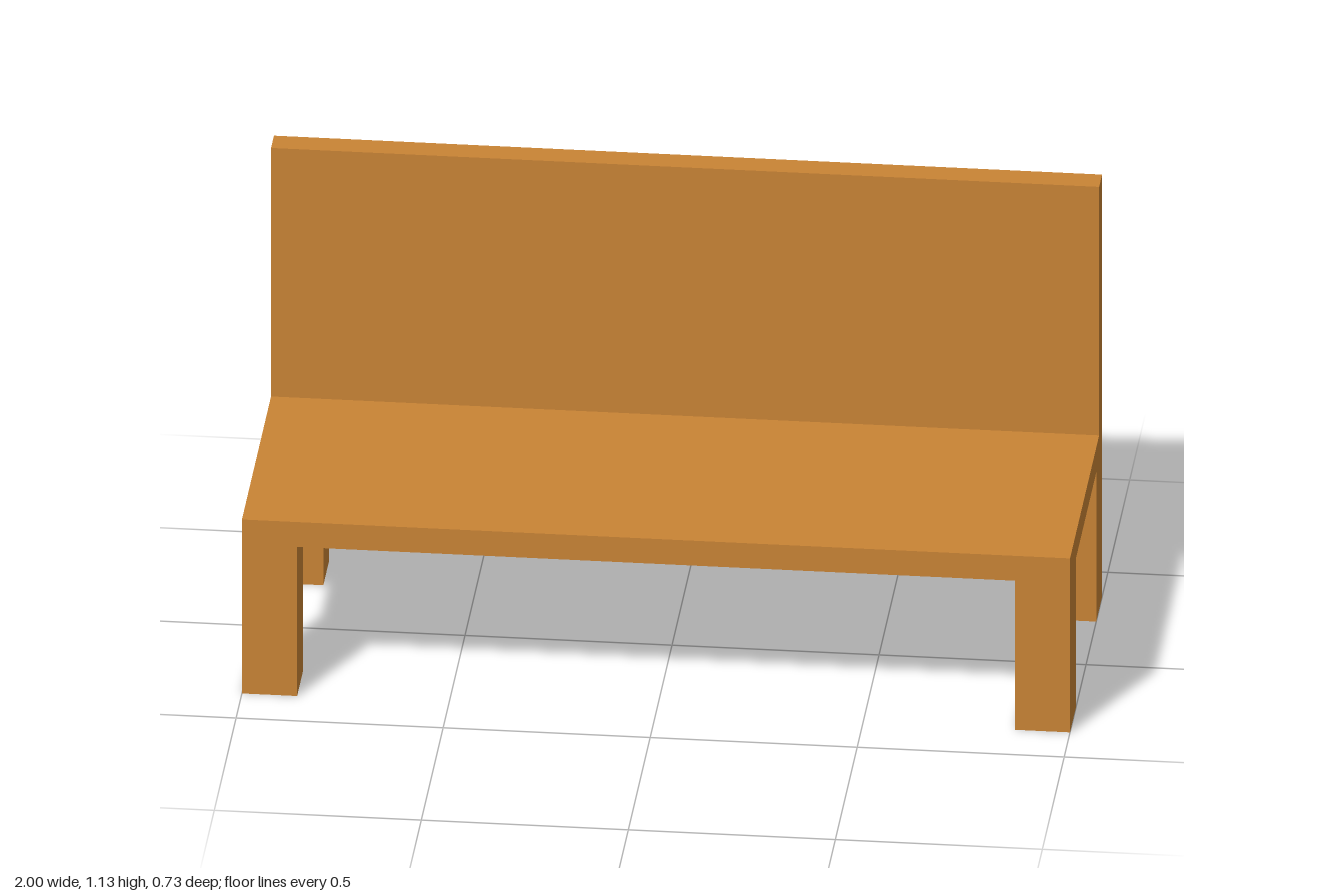
import * as THREE from 'three';

export function createModel() {
  const bench = new THREE.Group();
  bench.name = 'bench';

  const wood = new THREE.MeshStandardMaterial({ color: 0xc98435 });
  wood.name = 'warm wood';

  const width = 2, depth = 0.7333;
  const legSize = 0.1333, legHeight = 0.4;
  const board = 0.0667, backHeight = 0.6667;

  // Adds a box standing on height y
  function addBox(name, w, h, d, x, y, z) {
    const mesh = new THREE.Mesh(new THREE.BoxGeometry(w, h, d), wood);
    mesh.name = name;
    mesh.position.set(x, y + h / 2, z);
    bench.add(mesh);
  }

  // Seat board and upright backrest along its rear edge
  addBox('seat', width, board, depth, 0, legHeight, 0);
  addBox('backrest', width, backHeight, board, 0, legHeight + board, -(depth - board) / 2);

  // Four square legs flush with the corners
  for (const [side, sx] of [['Left', 1], ['Right', -1]]) {
    for (const [end, sz] of [['front', 1], ['back', -1]]) {
      addBox(`${end}${side}Leg`, legSize, legHeight, legSize,
        sx * (width - legSize) / 2, 0, sz * (depth - legSize) / 2);
    }
  }

  return bench;
}
